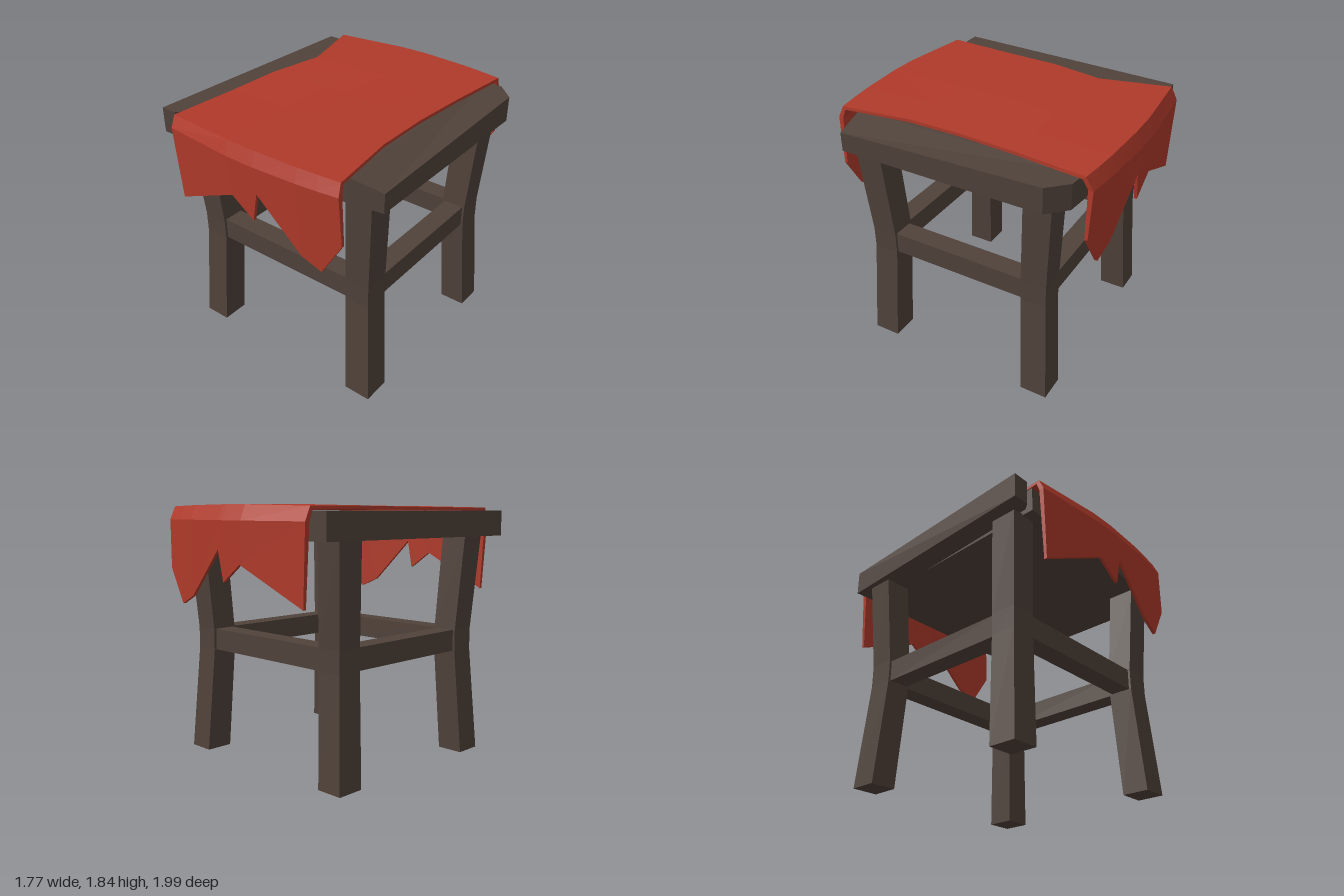
import * as THREE from 'three';

const wood = new THREE.MeshStandardMaterial({ color: 0x50423a, flatShading: true });
const red = new THREE.MeshStandardMaterial({ color: 0xb03a2a, flatShading: true });

function addMesh(parent, name, geometry, material) {
  const mesh = new THREE.Mesh(geometry, material);
  mesh.name = name;
  parent.add(mesh);
  return mesh;
}

// Leg pinched at the height of the rails; sx and sz pick the corner
function legGeometry(sx, sz) {
  const ys = [0, 0.77, 0.925, 1.62];
  const xIn = [0.595, 0.555, 0.555, 0.59], xOut = [0.79, 0.74, 0.74, 0.785];
  const zIn = [0.545, 0.51, 0.51, 0.545], zOut = [0.745, 0.698, 0.698, 0.743];
  const g = new THREE.BoxGeometry(1, 1, 1, 1, 3, 1);
  const p = g.attributes.position;
  for (let i = 0; i < p.count; i++) {
    const r = Math.round((p.getY(i) + 0.5) * 3);
    const outX = p.getX(i) * sx > 0, outZ = p.getZ(i) * sz > 0;
    p.setXYZ(i, sx * (outX ? xOut : xIn)[r], ys[r], sz * (outZ ? zOut : zIn)[r] + 0.01);
  }
  g.computeVertexNormals();
  return g;
}

// Seat plank from an outline of [x, z, optional top height]
function plankGeometry(outline) {
  const bottom = 1.61, top = 1.79;
  const shape = new THREE.Shape(outline.map(([x, z]) => new THREE.Vector2(x, -z)));
  const g = new THREE.ExtrudeGeometry(shape, { depth: top - bottom, bevelEnabled: false });
  g.rotateX(-Math.PI / 2).translate(0, bottom, 0);
  const p = g.attributes.position;
  for (const [x, z, y] of outline) {
    if (y === undefined) continue;
    for (let i = 0; i < p.count; i++) {
      const near = Math.hypot(p.getX(i) - x, p.getZ(i) - z) < 1e-4;
      if (near && p.getY(i) > 1.7) p.setY(i, y);
    }
  }
  g.computeVertexNormals();
  return g;
}

// Cloth draped over the seat with a ragged hem at both ends, closed with thickness
function clothGeometry() {
  const hem = [[-0.68, 1.2], [-0.14, 1.45], [0.035, 1.325], [0.08, 1.54],
    [0.41, 1.205], [0.555, 1.14], [0.705, 1.385]];
  const us = hem.map(([x]) => (x + 0.68) / 1.385);
  const bow = x => 0.05 * (1 - (x / 0.7) ** 2);
  // Rows across the top: z, left x, right x, lift
  const top = [[0.91, -0.71, 0.68, 0], [0.4, -0.675, 0.615, 0.002], [0, -0.655, 0.62, 0.006],
    [-0.4, -0.57, 0.655, 0.012], [-0.9, -0.705, 0.7, 0.008]];
  const outer = [], inner = [];
  const hangRows = side => {
    const hemRow = hem.map(([x, y]) => [x, y, side * (0.947 + bow(x) - 0.025 * (1.73 - y))]);
    const foldRow = us.map(u => {
      const x = -0.71 + 1.4 * u;
      return [x, 1.73, side * (0.947 + bow(x))];
    });
    const rows = [hemRow, foldRow];
    const under = rows.map((row, r) =>
      row.map(([x, y, z]) => [x, y, z - side * (r ? 0.035 : 0.022)]));
    return [rows, under];
  };
  const [front, frontIn] = hangRows(1), [back, backIn] = hangRows(-1);
  outer.push(...front);
  inner.push(...frontIn);
  top.forEach(([z, l, r, lift], k) => {
    const edge = k === 0 ? 1 : k === top.length - 1 ? -1 : 0;
    const row = us.map(u => {
      const x = l + (r - l) * u;
      return [x, 1.813 + lift + 0.012 * Math.sin(Math.PI * (1 - u)), z + edge * bow(x)];
    });
    outer.push(row);
    inner.push(row.map(([x, y, z]) => [x, y - 0.022, z - edge * 0.02]));
  });
  outer.push(back[1], back[0]);
  inner.push(backIn[1], backIn[0]);

  const R = outer.length, C = us.length, N = R * C;
  const index = [];
  const id = (r, c) => r * C + c;
  for (let r = 0; r < R - 1; r++) {
    for (let c = 0; c < C - 1; c++) {
      const a = id(r, c), b = id(r, c + 1), d = id(r + 1, c), e = id(r + 1, c + 1);
      index.push(a, b, e, a, e, d);
      index.push(N + a, N + e, N + b, N + a, N + d, N + e);
    }
  }
  // Rim joining the outer and inner sheets
  const rim = (p, q) => index.push(q, p, N + p, q, N + p, N + q);
  for (let c = 0; c < C - 1; c++) {
    rim(id(0, c), id(0, c + 1));
    rim(id(R - 1, c + 1), id(R - 1, c));
  }
  for (let r = 0; r < R - 1; r++) {
    rim(id(r, C - 1), id(r + 1, C - 1));
    rim(id(r + 1, 0), id(r, 0));
  }
  const g = new THREE.BufferGeometry();
  g.setAttribute('position', new THREE.Float32BufferAttribute([outer, inner].flat(3), 3));
  g.setIndex(index);
  const flat = g.toNonIndexed();
  flat.computeVertexNormals();
  return flat;
}

export function createModel() {
  const model = new THREE.Group();
  model.name = 'stool';

  // Legs
  for (const sx of [-1, 1]) {
    for (const sz of [-1, 1]) {
      const name = (sz > 0 ? 'front' : 'back') + (sx > 0 ? 'Left' : 'Right') + 'Leg';
      addMesh(model, name, legGeometry(sx, sz), wood);
    }
  }

  // Rails between the legs
  for (const s of [-1, 1]) {
    const cross = addMesh(model, s > 0 ? 'frontRail' : 'backRail',
      new THREE.BoxGeometry(1.13, 0.155, 0.15), wood);
    cross.position.set(0, 0.848, s * 0.605 + 0.01);
    const side = addMesh(model, s > 0 ? 'leftRail' : 'rightRail',
      new THREE.BoxGeometry(0.15, 0.155, 1.04), wood);
    side.position.set(s * 0.648, 0.848, 0.01);
  }

  // Worn seat planks
  addMesh(model, 'rightPlank', plankGeometry([[-0.815, -0.875], [-0.89, 0.855],
    [-0.77, 0.855], [-0.735, 0.81], [-0.675, -0.23], [-0.64, -0.87]]), wood);
  addMesh(model, 'middlePlank', plankGeometry([[-0.64, -0.87], [-0.675, -0.23],
    [-0.70, 0.84], [0.64, 0.81], [0.62, -0.86]]), wood);
  addMesh(model, 'leftPlank', plankGeometry([[0.62, -0.86], [0.64, 0.81],
    [0.885, 0.77, 1.745], [0.885, -0.72], [0.76, -0.845]]), wood);

  // Torn cloth
  addMesh(model, 'cloth', clothGeometry(), red);
  return model;
}
